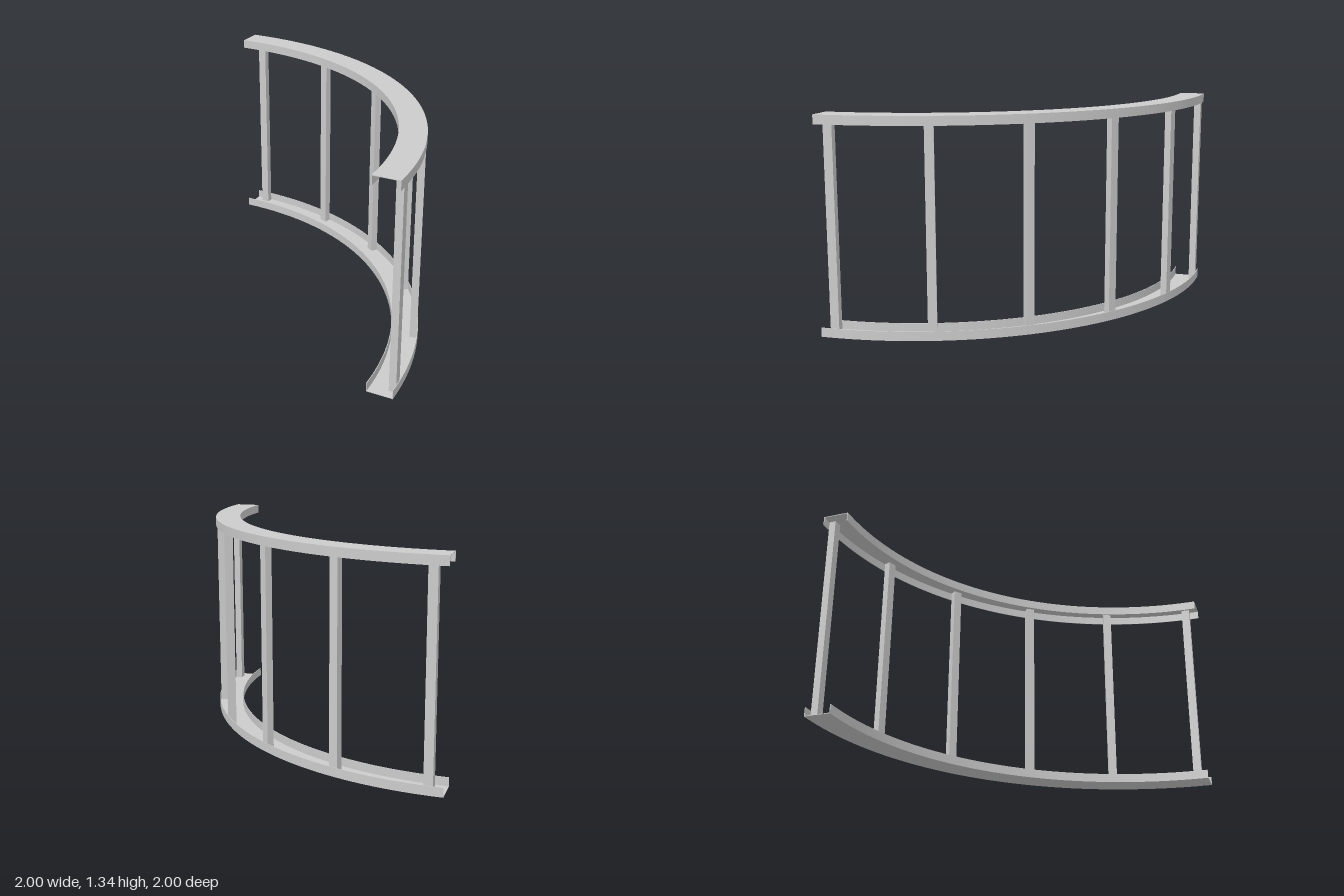
import * as THREE from 'three';
import { toCreasedNormals } from 'three/addons/utils/BufferGeometryUtils.js';

const R_OUT = 2, R_IN = 1.835;   // quarter-circle track radii
const HEIGHT = 1.335;            // overall height
const FLANGE = 0.057;            // track flange height
const T = 0.004;                 // sheet thickness
const CX = -1, CZ = 1;           // centre of the arc

const material = new THREE.MeshStandardMaterial({ color: 0xcccccc });

// Quarter ring between two radii, standing from y to y + h
function arcBand(name, rIn, rOut, y, h) {
  const shape = new THREE.Shape();
  shape.absarc(0, 0, rOut, 0, Math.PI / 2, false);
  shape.absarc(0, 0, rIn, Math.PI / 2, 0, true);
  const geo = new THREE.ExtrudeGeometry(shape, { depth: h, bevelEnabled: false, curveSegments: 32 });
  geo.rotateX(-Math.PI / 2);
  geo.translate(CX, y, CZ);
  const mesh = new THREE.Mesh(toCreasedNormals(geo, 0.4), material);
  mesh.name = name;
  return mesh;
}

// Curved U-channel: a flat web with an inner and an outer flange
function track(name, webY, flangeY) {
  const group = new THREE.Group();
  group.name = name;
  group.add(
    arcBand('trackWeb', R_IN + T, R_OUT - T, webY, T),
    arcBand('outerFlange', R_OUT - T, R_OUT, flangeY, FLANGE),
    arcBand('innerFlange', R_IN, R_IN + T, flangeY, FLANGE)
  );
  return group;
}

export function createModel() {
  const model = new THREE.Group();
  model.name = 'curvedWallFrame';

  // Bottom track opens upward, top track opens downward
  model.add(track('bottomTrack', 0, 0));
  model.add(track('topTrack', HEIGHT - T, HEIGHT - FLANGE));

  // Six evenly spaced studs against the outer flange
  const studs = new THREE.Group();
  studs.name = 'studs';
  const width = 0.055, depth = 0.044, count = 6;
  const margin = THREE.MathUtils.degToRad(2.5);
  const studGeo = new THREE.BoxGeometry(width, HEIGHT - 2 * T, depth);
  const r = R_OUT - T - 0.001 - depth / 2;
  for (let i = 0; i < count; i++) {
    const a = margin + (i / (count - 1)) * (Math.PI / 2 - 2 * margin);
    const stud = new THREE.Mesh(studGeo, material);
    stud.name = 'stud';
    stud.position.set(CX + r * Math.sin(a), HEIGHT / 2, CZ - r * Math.cos(a));
    stud.rotation.y = -a;
    studs.add(stud);
  }
  model.add(studs);

  return model;
}
